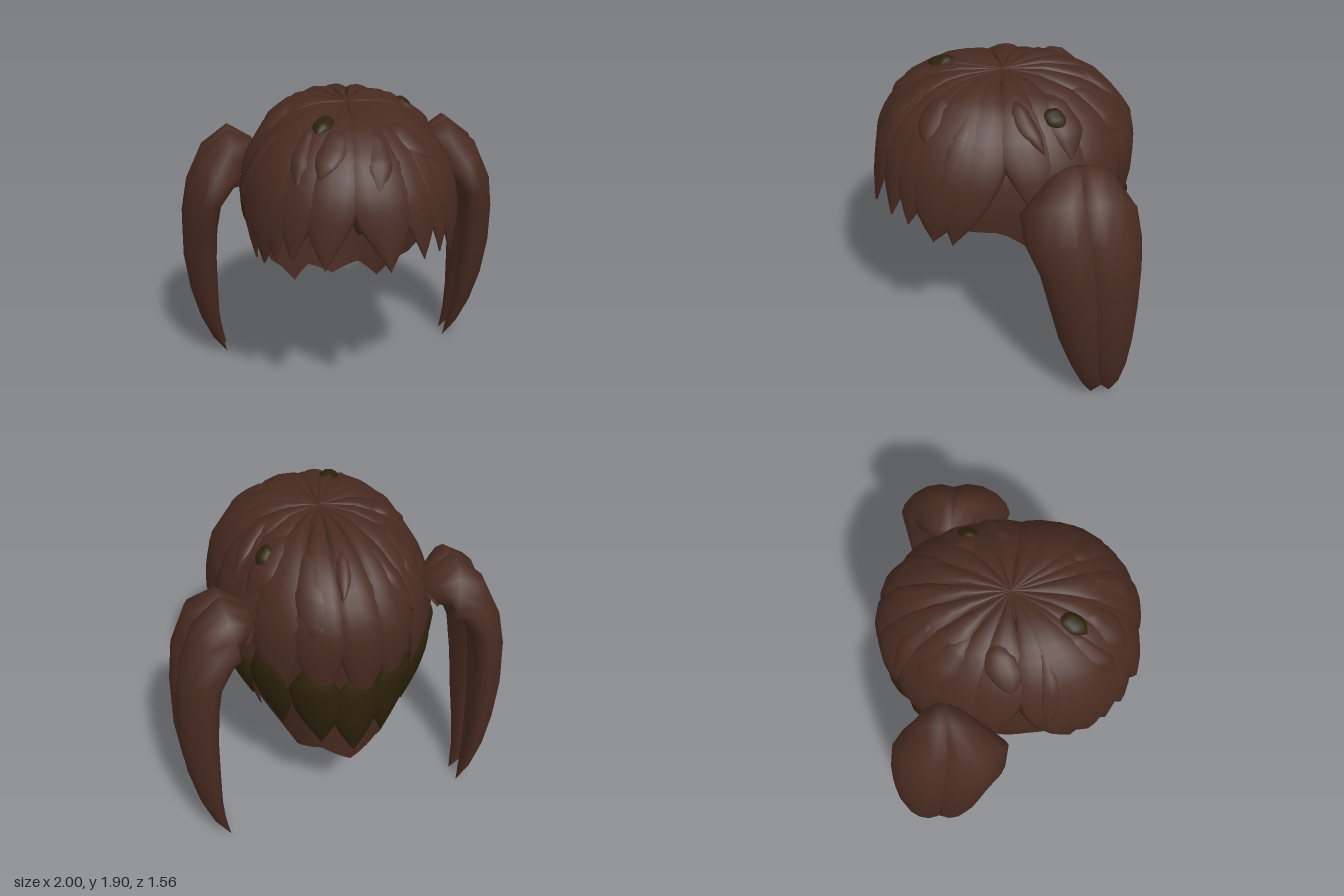
import * as THREE from 'three';

const D = Math.PI / 180;
const brown = new THREE.MeshStandardMaterial({ color: 0x482b21, side: THREE.DoubleSide });
brown.name = 'brown hair';
const olive = new THREE.MeshStandardMaterial({ color: 0x2c210a, side: THREE.DoubleSide });
olive.name = 'dark olive hair';

// Head cross-sections from crown to nape: height, half width, depth to front, depth to back
const ROWS = [
  [1.875, 0, 0, 0], [1.86, 0.19, 0.28, 0.25], [1.79, 0.35, 0.45, 0.46], [1.67, 0.475, 0.595, 0.62],
  [1.5, 0.57, 0.685, 0.72], [1.3, 0.605, 0.72, 0.72], [1.1, 0.585, 0.74, 0.69],
  [0.8, 0.49, 0.7, 0.66], [0.45, 0.38, 0.66, 0.62],
];

const lerp = THREE.MathUtils.lerp;

// Row position of a given height
function rowAt(y) {
  for (let i = 0; i < ROWS.length - 1; i++) {
    if (y >= ROWS[i + 1][0]) return i + Math.max(0, (ROWS[i][0] - y) / (ROWS[i][0] - ROWS[i + 1][0]));
  }
  return ROWS.length - 1;
}

// Point on the head at an angle (0 = front, 90 = left side), row position and offset outward
function headPoint(deg, p, offset = 0) {
  const i = Math.min(Math.floor(p), ROWS.length - 2);
  const [y, w, f, b] = ROWS[i].map((v, k) => lerp(v, ROWS[i + 1][k], p - i));
  const s = Math.sin(deg * D), c = Math.cos(deg * D);
  const e = c > 0 ? 0.86 : 1;
  const pt = new THREE.Vector3(
    w * Math.sign(s) * Math.abs(s) ** e, y, (c > 0 ? f : b) * Math.sign(c) * Math.abs(c) ** e);
  const out = new THREE.Vector3(pt.x, Math.max(y - 1.15, 0), pt.z).normalize();
  return pt.addScaledVector(out, offset);
}

// Skin a list of closed rings of points
function skin(rings) {
  const n = rings[0].length, index = [];
  for (let r = 0; r < rings.length - 1; r++) {
    for (let k = 0; k < n; k++) {
      const a = r * n + k, b = r * n + (k + 1) % n;
      index.push(a, b, a + n, b, b + n, a + n);
    }
  }
  const geo = new THREE.BufferGeometry().setFromPoints(rings.flat());
  geo.setIndex(index);
  geo.computeVertexNormals();
  return geo;
}

function add(group, name, geo, material) {
  const mesh = new THREE.Mesh(geo, material);
  mesh.name = name;
  group.add(mesh);
}

// Pointed lock lying on the head: angle, half width in degrees, top and tip heights,
// outward bulge, sideways sweep of the tip, inward bulge, distance of its edges from the head
function lock(deg, half, top, tip, lift, sweep = 0, inner = 0.006, base = 0.008, flick = 0.025) {
  const rings = [], p0 = rowAt(top), p1 = rowAt(tip), steps = 14, sides = 12;
  for (let r = 0; r <= steps; r++) {
    const s = r / steps;
    const taper = s < 0.6 ? 1 : 1 - ((s - 0.6) / 0.4) ** 1.5;
    const w = half * Math.min(1, 0.5 + 1.4 * s) * taper;
    const rise = Math.min(1, s * 4) * (0.3 + 0.7 * taper);
    const ring = [];
    for (let k = 0; k < sides; k++) {
      const t = k / sides * Math.PI * 2, h = Math.sin(t);
      const off = base + flick * s + h * (h > 0 ? lift : inner) * rise;
      ring.push(headPoint(deg + sweep * s * s + w * Math.cos(t), lerp(p0, p1, s), off));
    }
    rings.push(ring);
  }
  return skin(rings);
}

// Lower edge of the inner cap: angle from front, height
const EDGE = [[0, 1.46], [40, 1.4], [62, 1.18], [86, 1.16], [100, 0.97], [112, 0.77],
  [124, 0.66], [136, 0.51], [156, 0.56], [180, 0.46]];
function edgeY(deg) {
  const a = Math.abs(deg);
  const i = Math.max(1, EDGE.findIndex(e => e[0] >= a));
  const [a0, y0] = EDGE[i - 1], [a1, y1] = EDGE[i];
  return lerp(y0, y1, (a - a0) / (a1 - a0));
}

function cap() {
  const rings = [];
  for (let r = 0; r <= 16; r++) {
    const ring = [];
    for (let d = -180; d < 180; d += 4) ring.push(headPoint(d, rowAt(edgeY(d)) * r / 16));
    rings.push(ring);
  }
  return skin(rings);
}

// Side tail: centre x, y, half thickness, front edge z, parting z, back edge z
const TAIL = [
  [0.53, 1.41, 0.06, -0.27, -0.36, -0.46], [0.59, 1.46, 0.11, -0.2, -0.35, -0.54],
  [0.655, 1.49, 0.16, -0.11, -0.34, -0.6], [0.77, 1.425, 0.12, -0.01, -0.35, -0.66],
  [0.86, 1.25, 0.105, -0.03, -0.38, -0.68], [0.895, 1.05, 0.105, -0.11, -0.4, -0.685],
  [0.905, 0.8, 0.1, -0.17, -0.42, -0.68], [0.89, 0.55, 0.085, -0.23, -0.44, -0.67],
  [0.86, 0.32, 0.06, -0.31, -0.47, -0.65], [0.815, 0.14, 0.033, -0.385, -0.505, -0.62],
  [0.75, 0, 0, -0.46, -0.46, -0.575],
];

// One of the two locks of a tail, its outer edge curled toward the head
function tailLock(side, front) {
  const last = TAIL.length - 1;
  return skin(TAIL.map(([x, y, t, zf, zm, zb], i) => {
    const a = TAIL[Math.max(i - 1, 0)], b = TAIL[Math.min(i + 1, last)];
    const len = Math.hypot(b[0] - a[0], b[1] - a[1]);
    const nx = -(b[1] - a[1]) / len, ny = (b[0] - a[0]) / len;
    const lap = 0.12 * (1 - i / last);
    let z0 = front ? zf : zm + lap, z1 = front ? zm - lap : zb;
    if (i === last) z0 = z1 = front ? zf : zb;
    return Array.from({ length: 14 }, (_, k) => {
      const q = k / 14 * Math.PI * 2;
      const z = (z0 + z1) / 2 + Math.cos(q) * (z0 - z1) / 2;
      const u = (2 * z - zf - zb) / (zf - zb);
      const h = t * (Math.sin(q) - 0.55 * u * u);
      return new THREE.Vector3(side * (x + nx * h), y + ny * h, z);
    });
  }));
}

export function createModel() {
  const model = new THREE.Group();
  model.name = 'hair';
  add(model, 'innerCap', cap(), brown);

  // Fringe: angle, half width, tip height, bulge, sweep
  const fringe = [
    [-14, 17, 1.15, 0.035, -4], [8, 17, 1.13, 0.04, 2], [26, 16, 1.16, 0.03, 4], [-33, 16, 1.17, 0.035, -3],
    [43, 16, 1.16, 0.035, 0], [-48, 16, 1.14, 0.035, 0], [60, 24, 1.09, 0.045, -2], [-60, 24, 1.09, 0.045, 2],
    [75, 16, 1.08, 0.035, -8], [-75, 16, 1.08, 0.035, 8],
  ];
  for (const [d, w, tip, lift, sweep] of fringe) add(model, 'fringeLock', lock(d, w, 1.875, tip, lift, sweep), brown);

  // Long locks over the sides and back
  const back = [[180, 15, 0.88, 0.045], [157, 15, 0.95, 0.045], [134, 15, 0.87, 0.04], [113, 14, 0.78, 0.03], [96, 13, 1.25, 0.03]];
  for (const [d, w, tip, lift] of back) {
    for (const s of d === 180 ? [1] : [1, -1]) {
      add(model, 'backLock', lock(s * d, w, 1.875, tip, lift, s * 4), brown);
    }
  }

  // Short ragged locks of the upper layer
  for (let i = 0; i < 13; i++) {
    const tip = 1.52 + 0.13 * Math.sin(i * 2.3);
    add(model, 'upperLock', lock(i * 27.7 + 12, 9 + 3 * Math.sin(i * 1.7), 1.84, tip, 0.04, i % 2 ? 9 : -7, 0.006, 0.008, 0.035), brown);
  }

  // Dark under-layer at the nape, thick enough to show on the inside: angle, half width, top, tip, inward bulge
  const nape = [[180, 14, 1.16, 0.58, 0.055], [157, 14, 1.23, 0.66, 0.055], [132, 11, 1.3, 0.72, 0.04], [114, 8, 1.3, 0.85, 0.01]];
  for (const [d, w, top, tip, inner] of nape) {
    for (const s of d === 180 ? [1] : [1, -1]) {
      add(model, 'napeLock', lock(s * d, w, top, tip, 0.05, 0, inner, 0.03, 0), olive);
    }
  }

  // Small dark wisps near the crown
  add(model, 'crownWisp', lock(-34, 12, 1.858, 1.785, 0.052), olive);
  add(model, 'crownWisp', lock(116, 7, 1.79, 1.68, 0.06), olive);

  // Twin tails, each of two locks
  for (const side of [1, -1]) {
    const tail = new THREE.Group();
    tail.name = side > 0 ? 'leftTail' : 'rightTail';
    add(tail, 'frontTailLock', tailLock(side, true), brown);
    add(tail, 'backTailLock', tailLock(side, false), brown);
    model.add(tail);
  }
  return model;
}
